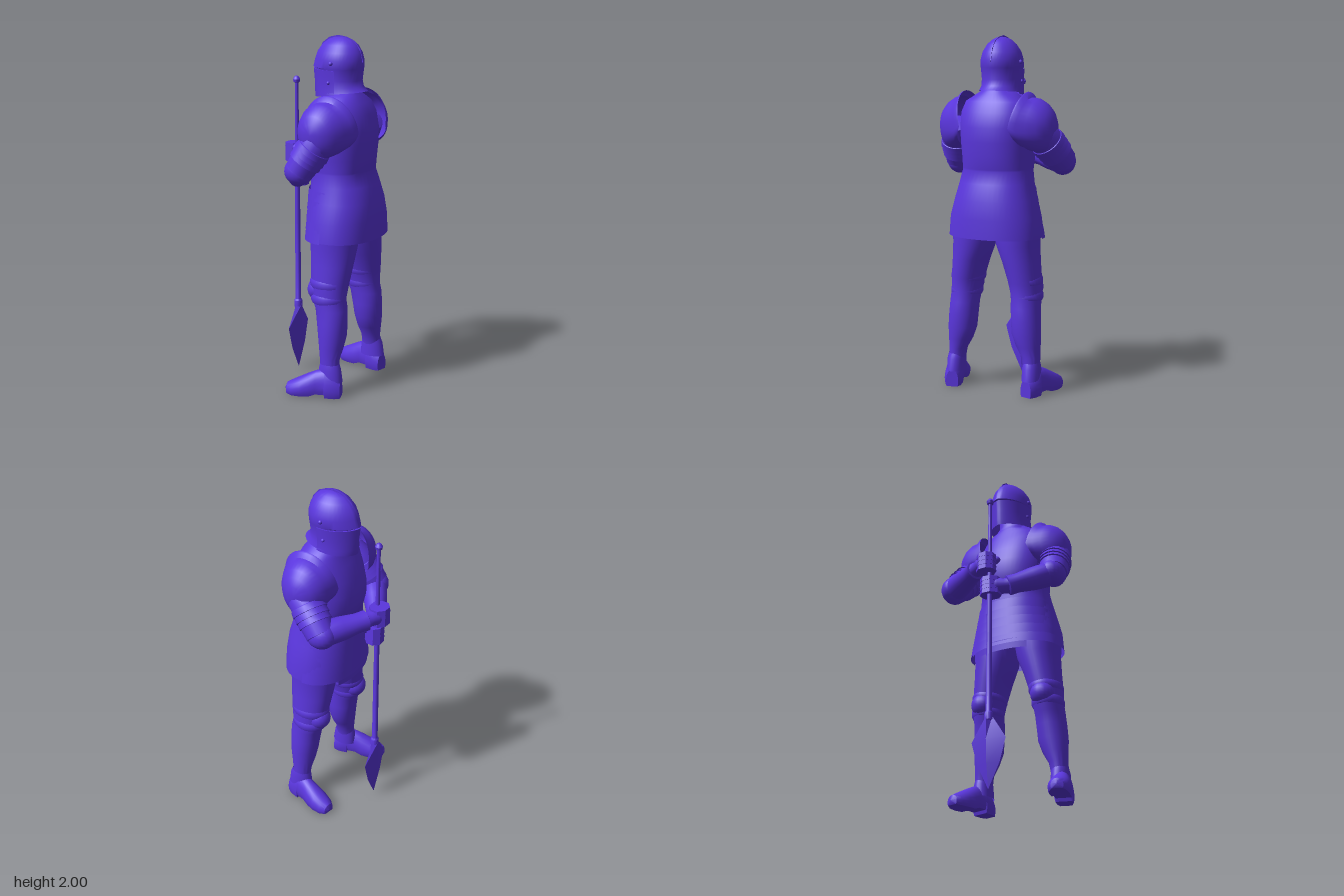
import * as THREE from 'three';
import { toCreasedNormals } from 'three/addons/utils/BufferGeometryUtils.js';

const steel = new THREE.MeshStandardMaterial({ color: 0x5a36dd, side: THREE.DoubleSide });
steel.name = 'violet steel';
const V = (x, y, z) => new THREE.Vector3(x, y, z);

// Skin over cross-sections: f(row, angle) gives a point; s = -1 mirrors in z
function loft(rows, f, { cols = 32, s = 1, from = 0, to = Math.PI * 2 } = {}) {
  const pos = [], idx = [];
  rows.forEach((row, i) => {
    for (let j = 0; j <= cols; j++) {
      const [x, y, z] = f(row, from + (to - from) * j / cols);
      pos.push(x, y, z * s);
      if (i && j) {
        const d = i * (cols + 1) + j, c = d - 1, b = d - cols - 1, a = b - 1;
        if (s > 0) idx.push(a, c, b, b, c, d);
        else idx.push(a, b, c, b, d, c);
      }
    }
  });
  const g = new THREE.BufferGeometry();
  g.setAttribute('position', new THREE.Float32BufferAttribute(pos, 3));
  g.setIndex(idx);
  return g;
}

function add(parent, name, geo, crease = 0.65) {
  const m = new THREE.Mesh(toCreasedNormals(geo, crease), steel);
  m.name = name;
  parent.add(m);
  return m;
}

function ball(parent, name, p, rx, ry = rx, rz = rx) {
  const m = add(parent, name, new THREE.SphereGeometry(1, 20, 14));
  m.position.copy(p);
  m.scale.set(rx, ry, rz);
  return m;
}

// Turned limb from a to b; profile = [radius, fraction of length]
function limb(parent, name, a, b, profile) {
  const dir = b.clone().sub(a), len = dir.length();
  const pts = profile.map(([r, t]) => new THREE.Vector2(r, t * len));
  const m = add(parent, name, new THREE.LatheGeometry(pts, 20));
  m.position.copy(a);
  m.quaternion.setFromUnitVectors(V(0, 1, 0), dir.normalize());
  return m;
}

// Horizontal body section: [y, front x, back x, half width]
const pow = (v, e) => Math.sign(v) * Math.abs(v) ** e;
const bodyRing = ([y, xf, xb, w], t) =>
  [(xf + xb) / 2 + (xb - xf) / 2 * pow(Math.cos(t), 0.9), y, w * pow(Math.sin(t), 0.9)];

// Keeled helmet section: [y, front x, back x, half width, slope]
const helmRing = ([y, xf, xb, w, slope = 0], t) => {
  const c = Math.cos(t), x = 0.06 + c * (c > 0 ? xb - 0.06 : 0.06 - xf);
  return [x, y + slope * (x - 0.06), w * pow(Math.sin(t), c > 0 ? 1.08 : 1.08 - 0.3 * c)];
};

function buildTorso(body) {
  add(body, 'cuirass and skirt', loft([
    [0.89, -0.095, 0.305, 0.272], [1.0, -0.093, 0.303, 0.262], [1.1, -0.09, 0.293, 0.235],
    [1.19, -0.085, 0.268, 0.212], [1.26, -0.085, 0.243, 0.2], [1.27, -0.092, 0.246, 0.2],
    [1.34, -0.108, 0.252, 0.205], [1.42, -0.105, 0.26, 0.21], [1.5, -0.085, 0.258, 0.21],
    [1.58, -0.055, 0.24, 0.205], [1.64, -0.025, 0.21, 0.18], [1.68, -0.01, 0.18, 0.115],
    [1.7, 0, 0.165, 0.085], [1.7, 0.08, 0.08, 0]], bodyRing, { cols: 48 }));
  // Overlapping front lames
  for (let i = 0; i < 5; i++) {
    const y = 1.16 - i * 0.055, w = 0.219 + i * 0.0125;
    add(body, 'skirt lame', loft([[y - 0.055, -0.104, 0.295, w + 0.01], [y + 0.004, -0.098, 0.285, w]],
      bodyRing, { cols: 24, from: Math.PI - 1.55, to: Math.PI + 1.55 }));
  }
  add(body, 'front tab', loft([[0.85, -0.1, 0.3, 0.268], [0.91, -0.102, 0.3, 0.27]],
    bodyRing, { cols: 10, from: Math.PI - 0.55, to: Math.PI + 0.55 }));
  add(body, 'gorget', loft([[1.66, -0.035, 0.19, 0.11], [1.69, -0.02, 0.165, 0.09],
    [1.75, -0.015, 0.15, 0.085]], bodyRing));
}

function buildHelmet(body) {
  const h = new THREE.Group();
  h.name = 'helmet';
  h.position.z = -0.012;
  body.add(h);
  add(h, 'skull', loft([
    [1.69, -0.085, 0.212, 0.118, 0.08], [1.72, -0.09, 0.185, 0.11, 0.05], [1.76, -0.095, 0.177, 0.108],
    [1.822, -0.106, 0.185, 0.113], [1.825, -0.12, 0.186, 0.114], [1.87, -0.107, 0.188, 0.113],
    [1.91, -0.092, 0.178, 0.102], [1.95, -0.06, 0.155, 0.077], [1.975, -0.025, 0.125, 0.05],
    [1.988, 0.01, 0.09, 0.024], [1.992, 0.06, 0.06, 0]], helmRing, { cols: 40 }));
  add(h, 'visor', loft([[1.68, -0.104, 0.2, 0.119, 0.14], [1.705, -0.109, 0.2, 0.115, 0.09],
    [1.75, -0.111, 0.2, 0.114], [1.816, -0.117, 0.2, 0.118, 0], [1.816, -0.1, 0.2, 0.105]],
  helmRing, { cols: 28, from: Math.PI - 1.7, to: Math.PI + 1.7 }));
  const comb = new THREE.Shape([[-0.1, 1.88], [-0.064, 1.955], [-0.02, 1.987], [0.035, 2], [0.09, 1.992],
    [0.14, 1.972], [0.175, 1.93], [0.194, 1.86], [0.15, 1.85], [-0.05, 1.85]]
    .map(p => new THREE.Vector2(...p)));
  add(h, 'comb', new THREE.ExtrudeGeometry(comb, { depth: 0.004, bevelEnabled: false })).position.z = -0.002;
  for (const s of [1, -1]) {
    ball(h, 'visor pivot', V(0.055, 1.855, s * 0.113), 0.012);
    ball(h, 'rivet', V(0.04, 1.75, s * 0.113), 0.01);
  }
}

function buildLeg(body, s) {
  const leg = new THREE.Group();
  leg.name = s > 0 ? 'leg on front side' : 'leg on back side';
  body.add(leg);
  const ring = ([y, cx, rx, cz, rz], t) => [cx + rx * Math.cos(t), y, cz + rz * Math.sin(t)];
  add(leg, 'leg armour', loft([
    [0.1, 0.135, 0.055, 0.238, 0.045], [0.15, 0.135, 0.055, 0.238, 0.046], [0.22, 0.13, 0.058, 0.232, 0.052],
    [0.28, 0.13, 0.07, 0.215, 0.07], [0.35, 0.13, 0.081, 0.203, 0.084], [0.43, 0.125, 0.088, 0.198, 0.084],
    [0.5, 0.118, 0.093, 0.193, 0.083], [0.56, 0.1, 0.1, 0.19, 0.085], [0.64, 0.1, 0.111, 0.18, 0.092],
    [0.75, 0.1, 0.125, 0.158, 0.104], [0.85, 0.1, 0.135, 0.136, 0.122], [0.92, 0.1, 0.14, 0.132, 0.13],
    [1, 0.1, 0.14, 0.13, 0.13]], ring, { s }));
  // Bands above and below the knee
  for (const [y, cx, rx, cz, rz] of [[0.645, 0.096, 0.113, 0.18, 0.095], [0.56, 0.097, 0.103, 0.191, 0.089]])
    add(leg, 'knee band', loft([[y - 0.025, cx, rx - 0.006, cz, rz - 0.006], [y - 0.012, cx, rx, cz, rz],
      [y + 0.012, cx, rx, cz, rz], [y + 0.025, cx, rx - 0.006, cz, rz - 0.006]], ring, { s }));
  ball(leg, 'knee cop', V(0.038, 0.6, s * 0.188), 0.07, 0.07, 0.07);
  add(leg, 'ankle flap', loft([[0.09, 0.138, 0.075, 0.24, 0.052], [0.16, 0.136, 0.066, 0.24, 0.05],
    [0.19, 0.134, 0.056, 0.238, 0.046]], ring, { s, cols: 24 }));
  // Shoe sections from heel to toe: [distance, half width, height, lift]
  const a = s > 0 ? 0.31 : 0.2;
  add(leg, 'shoe', loft([[0, 0, 0.05, 0.02], [0, 0.036, 0.1, 0], [0.03, 0.05, 0.13, 0], [0.085, 0.053, 0.16, 0],
    [0.09, 0.05, 0.16, 0.018], [0.14, 0.052, 0.148, 0.018], [0.18, 0.058, 0.13, 0.003], [0.23, 0.062, 0.104, 0],
    [0.28, 0.054, 0.078, 0], [0.312, 0.034, 0.06, 0.004], [0.324, 0, 0.03, 0.025]], ([d, w, h, lift], t) => {
    const k = w * Math.cos(t), y = Math.max(0, Math.sin(t) * 0.68 + 0.32);
    return [0.205 - d * Math.cos(a) + k * Math.sin(a), lift + (h - lift) * y, 0.235 + d * Math.sin(a) + k * Math.cos(a)];
  }, { s, cols: 24 }));
}

function buildArm(body, s, elbow, wrist, fist) {
  const arm = new THREE.Group();
  arm.name = s > 0 ? 'arm on front side' : 'arm on back side';
  body.add(arm);
  // Shoulder plate with a raised inner rim: [z, centre x, rx, upper ry, lower ry, rim bulge]
  add(arm, 'shoulder plate', loft([[0.148, 0.093, 0.168, 0.192, 0.115, 0.045], [0.158, 0.093, 0.167, 0.188, 0.115, 0.045],
    [0.185, 0.09, 0.158, 0.162, 0.13, 0.035], [0.235, 0.083, 0.143, 0.155, 0.14, 0.02],
    [0.285, 0.08, 0.12, 0.132, 0.14, 0.008], [0.322, 0.078, 0.09, 0.1, 0.12, 0], [0.345, 0.077, 0.05, 0.056, 0.08, 0],
    [0.352, 0.077, 0, 0, 0, 0]], ([z, cx, rx, up, down, bulge], t) => {
    const sn = Math.sin(t);
    return [cx + rx * Math.cos(t), 1.503 + sn * (sn > 0 ? up : down), z + bulge * Math.abs(sn)];
  }, { s, cols: 36 }));
  const shoulder = V(0.1, 1.49, s * 0.252);
  limb(arm, 'upper arm', shoulder, elbow, [[0, -0.2], [0.07, -0.1], [0.093, 0.2], [0.09, 0.6], [0.08, 1], [0, 1.05]]);
  for (let i = 0; i < 3; i++) {
    const t = 0.36 + i * 0.13, r = 0.1 - i * 0.003;
    limb(arm, 'arm lame', shoulder, elbow, [[r - 0.012, t - 0.02], [r - 0.004, t], [r, t + 0.13], [r - 0.012, t + 0.135]]);
  }
  ball(arm, 'elbow cop', elbow, 0.084, 0.078, 0.072);
  limb(arm, 'forearm', elbow, wrist, [[0, -0.15], [0.06, -0.1], [0.07, 0.15], [0.067, 0.45], [0.055, 0.8],
    [0.057, 1], [0.05, 1.01], [0, 1.01]]);
  limb(arm, 'gauntlet', wrist, fist, [[0.046, -0.05], [0.042, 0.25], [0.05, 0.6], [0.045, 0.9], [0, 1.1]]);
  // Fingers stacked around the shaft
  for (let i = 0; i < 4; i++) {
    const f = add(arm, 'finger', new THREE.CylinderGeometry(0.96, 1, 1, 8));
    f.position.copy(fist).add(V(0, (i - 1.5) * 0.026, 0));
    f.scale.set(0.055, 0.026, 0.062);
    f.rotation.y = s * 0.4;
  }
  ball(arm, 'thumb', fist.clone().add(V(0.035, 0.03, -s * 0.03)), 0.024, 0.024, 0.04);
}

function buildSpear(parent) {
  const spear = new THREE.Group();
  spear.name = 'spear';
  spear.position.set(-0.23, 0, 0.016);
  parent.add(spear);
  const pts = [[0, 0.38], [0.024, 0.39], [0.024, 0.43], [0.017, 0.44], [0.016, 0.9], [0.012, 1.4], [0.01, 1.72],
    [0.018, 1.725], [0.021, 1.74], [0.012, 1.755], [0, 1.76]].map(p => new THREE.Vector2(...p));
  add(spear, 'shaft', new THREE.LatheGeometry(pts, 16));
  add(spear, 'blade', loft([[0.01, 0, 0], [0.15, 0.022, 0.068], [0.28, 0.029, 0.104], [0.41, 0.025, 0.022],
    [0.42, 0, 0]], ([y, rx, rz], t) => [rx * Math.cos(t), y, rz * Math.sin(t)], { cols: 4 }), 0.3);
}

export function createModel() {
  const model = new THREE.Group();
  model.name = 'armoured knight with spear';
  const body = new THREE.Group();
  body.name = 'knight';
  body.position.z = 0.014;
  model.add(body);
  buildTorso(body);
  buildHelmet(body);
  for (const s of [1, -1]) buildLeg(body, s);
  buildArm(body, 1, V(-0.025, 1.29, 0.298), V(-0.17, 1.2, 0.088), V(-0.215, 1.19, 0));
  buildArm(body, -1, V(-0.08, 1.305, -0.325), V(-0.218, 1.322, -0.096), V(-0.25, 1.325, -0.01));
  buildSpear(model);
  return model;
}
